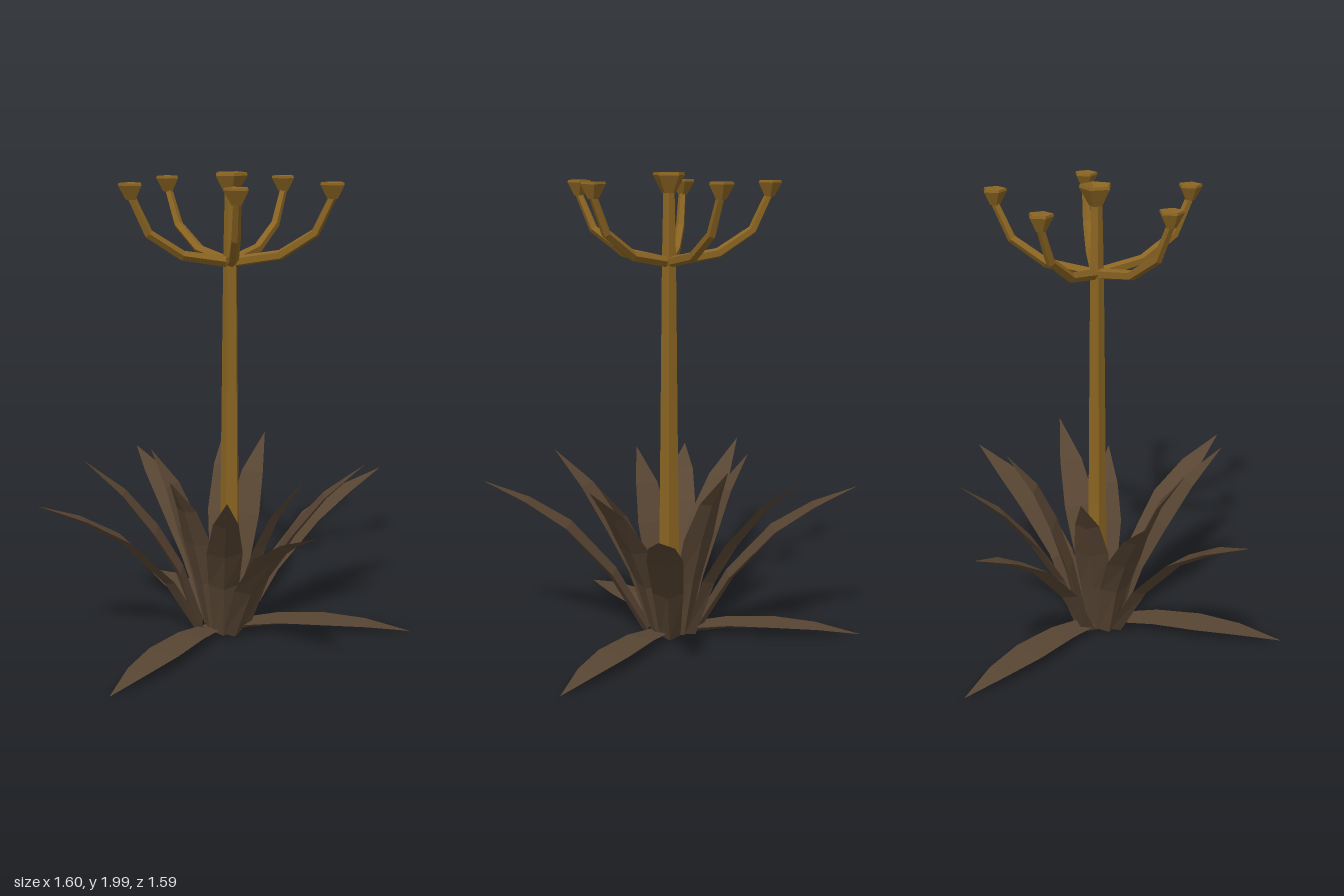
import * as THREE from 'three';

const leafMat = new THREE.MeshStandardMaterial({ color: 0x584533 });
leafMat.name = 'dryBrown';
const stalkMat = new THREE.MeshStandardMaterial({ color: 0x8a6422 });
stalkMat.name = 'ochre';

// Faceted normals
function facet(geo) {
  const flat = geo.index ? geo.toNonIndexed() : geo;
  flat.computeVertexNormals();
  return flat;
}

// Sweep a section along a path in the xy plane; section(i) gives [side, up] pairs
function loft(path, section) {
  const rings = path.map(([x, y], i) => {
    const a = path[Math.max(i - 1, 0)], b = path[Math.min(i + 1, path.length - 1)];
    const t = new THREE.Vector2(b[0] - a[0], b[1] - a[1]).normalize();
    return section(i).map(([s, u]) => [x - t.y * u, y + t.x * u, -s]);
  });
  const n = rings[0].length, pos = [];
  const tri = (a, b, c) => pos.push(...a, ...b, ...c);
  for (let i = 0; i < rings.length - 1; i++) {
    for (let j = 0; j < n; j++) {
      const k = (j + 1) % n, p = rings[i], q = rings[i + 1];
      tri(p[j], p[k], q[k]);
      tri(p[j], q[k], q[j]);
    }
  }
  const first = rings[0], last = rings[rings.length - 1];
  for (let j = 1; j < n - 1; j++) {
    tri(first[0], first[j + 1], first[j]);
    tri(last[0], last[j], last[j + 1]);
  }
  const geo = new THREE.BufferGeometry();
  geo.setAttribute('position', new THREE.Float32BufferAttribute(pos, 3));
  return facet(geo);
}

function add(parent, name, geo, mat) {
  const mesh = new THREE.Mesh(geo, mat);
  mesh.name = name;
  parent.add(mesh);
  return mesh;
}

// Leaf: flat on top, keeled below, pointed at the end
const HALF_WIDTH = [0.045, 0.065, 0.075, 0.052, 0.001];
const KEEL = [0.03, 0.03, 0.025, 0.018, 0.001];
function leafGeometry(profile, reach, height) {
  const end = profile[profile.length - 1];
  const path = profile.map(([r, y]) => [r * reach / end[0], y * height / end[1]]);
  return loft(path, (i) => [[-HALF_WIDTH[i], 0], [0, -KEEL[i]], [HALF_WIDTH[i], 0]]);
}

// Leaf rings: side profile [radius, height], then tips [x, z, height]
const LEAVES = [
  { name: 'groundLeaf',
    profile: [[0.07, 0.04], [0.25, 0.062], [0.45, 0.06], [0.63, 0.045], [0.82, 0.01]],
    tips: [[0.8, 0.2, 0.01], [-0.21, -0.8, 0.01], [-0.57, 0.58, 0.01]] },
  { name: 'outerLeaf',
    profile: [[0.1, 0.03], [0.25, 0.28], [0.45, 0.49], [0.63, 0.6], [0.82, 0.68]],
    tips: [[-0.8, 0.18, 0.68], [0.2, 0.79, 0.68], [-0.27, -0.76, 0.66], [0.77, -0.19, 0.65]] },
  { name: 'middleLeaf',
    profile: [[0.09, 0.03], [0.18, 0.28], [0.29, 0.46], [0.43, 0.63], [0.6, 0.77]],
    tips: [[-0.58, -0.14, 0.77], [-0.1, 0.58, 0.77], [0.14, -0.61, 0.78], [0.59, 0.15, 0.77]] },
  { name: 'innerLeaf',
    profile: [[0.07, 0.03], [0.13, 0.28], [0.2, 0.48], [0.28, 0.65], [0.4, 0.8]],
    tips: [[0.26, -0.32, 0.81], [-0.27, -0.27, 0.77], [-0.27, 0.25, 0.77], [0.29, 0.23, 0.72]] },
];

// Five-sided section for stalk and branches
const pentagon = (r) => Array.from({ length: 5 }, (_, j) => {
  const a = j * Math.PI * 2 / 5;
  return [r * Math.cos(a), r * Math.sin(a)];
});

// Hollow flared seed cup with a dark floor
function addCup(parent, x, y, radius, height) {
  const cup = new THREE.Group();
  cup.name = 'seedCup';
  cup.position.set(x, y, 0);
  const profile = [[0, 0], [radius * 0.42, 0], [radius, height * 0.85], [radius * 0.95, height],
    [radius * 0.5, height * 0.6]].map(([r, h]) => new THREE.Vector2(r, h));
  add(cup, 'cupWall', facet(new THREE.LatheGeometry(profile, 5)), stalkMat);
  const floor = add(cup, 'cupFloor', new THREE.CircleGeometry(radius * 0.52, 5), leafMat);
  floor.rotation.set(-Math.PI / 2, 0, -Math.PI / 2);
  floor.position.y = height * 0.6;
  parent.add(cup);
}

export function createModel() {
  const model = new THREE.Group();
  model.name = 'floweringPlant';

  // Rosette of leaves
  const rosette = new THREE.Group();
  rosette.name = 'rosette';
  model.add(rosette);
  for (const { name, profile, tips } of LEAVES) {
    for (const [x, z, height] of tips) {
      const leaf = add(rosette, name, leafGeometry(profile, Math.hypot(x, z), height), leafMat);
      leaf.rotation.y = Math.atan2(-z, x);
    }
  }

  // Tapering stalk
  const flower = new THREE.Group();
  flower.name = 'flowerStalk';
  flower.position.set(0.033, 0, 0);
  model.add(flower);
  const stalkRadius = [0.05, 0.042, 0.031, 0.024];
  add(flower, 'stalk', loft([[0, 0.03], [0, 0.6], [0, 1.62], [0, 1.94]],
    (i) => pentagon(stalkRadius[i])), stalkMat);
  addCup(flower, 0, 1.915, 0.07, 0.085);

  // Five upturned branches, each ending in a cup
  const branchTips = [[-0.165, -0.375], [0.335, -0.305], [0.415, 0.19], [-0.03, 0.42], [-0.395, 0.07]];
  const branchPath = [[0, 1.632], [0.21, 1.668], [0.355, 1.762], [0.425, 1.91]];
  const branchRadius = [0.024, 0.022, 0.02, 0.017];
  for (const [x, z] of branchTips) {
    const branch = new THREE.Group();
    branch.name = 'branch';
    branch.rotation.y = Math.atan2(-z, x - 0.033);
    add(branch, 'branchStem', loft(branchPath, (i) => pentagon(branchRadius[i])), stalkMat);
    addCup(branch, 0.425, 1.9, 0.052, 0.066);
    flower.add(branch);
  }
  return model;
}
